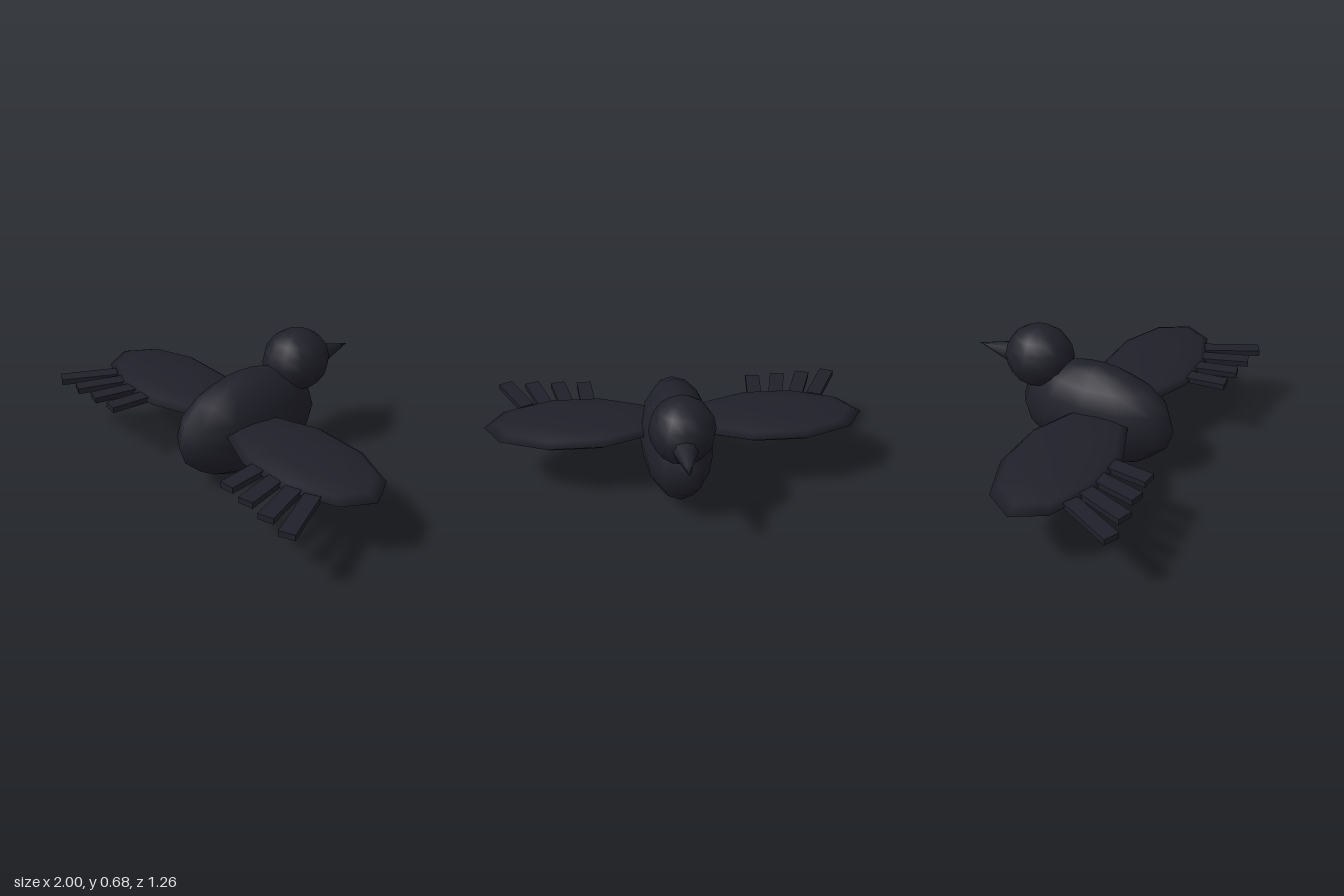
import * as THREE from 'three';

export function createModel() {
  const bird = new THREE.Group();
  bird.name = 'bird';
  const plumage = new THREE.MeshStandardMaterial({ color: 0x20202a });
  plumage.name = 'dark plumage';

  const add = (parent, name, geometry, x, y, z) => {
    const mesh = new THREE.Mesh(geometry, plumage);
    mesh.name = name;
    mesh.position.set(x, y, z);
    parent.add(mesh);
    return mesh;
  };

  // Low-poly ellipsoid with its poles on the y axis
  const ellipsoid = (rx, ry, rz, around, rows) =>
    new THREE.SphereGeometry(1, around, rows).scale(rx, ry, rz);

  // Body and head
  add(bird, 'body', ellipsoid(0.19, 0.272, 0.428, 12, 8), 0, 0.274, 0.066);
  add(bird, 'head', ellipsoid(0.165, 0.165, 0.183, 12, 8), 0, 0.515, -0.266);

  // Beak, pointing forward along -z
  const beak = new THREE.ConeGeometry(0.06, 0.209, 8).rotateX(-Math.PI / 2);
  add(bird, 'beak', beak, 0, 0.493, -0.531);

  // Flat wings, each with four splayed feathers on the trailing edge
  const wingShape = ellipsoid(0.477, 0.05, 0.258, 10, 6);
  const featherLength = 0.3;
  const featherShape = new THREE.BoxGeometry(0.078, 0.03, featherLength)
    .translate(0, 0, -featherLength / 2); // origin at the feather tip
  for (const side of [1, -1]) {
    const wing = new THREE.Group();
    wing.name = side > 0 ? 'leftWing' : 'rightWing';
    add(wing, 'wingBlade', wingShape, side * 0.521, 0.325, 0.155);
    for (let i = 0; i < 4; i++) {
      const feather = add(wing, 'feather', featherShape,
        side * (0.479 + i * 0.1455), 0.325, 0.581 + i * 0.01);
      feather.rotation.y = side * (0.1 + i * 0.12);
    }
    bird.add(wing);
  }
  return bird;
}
